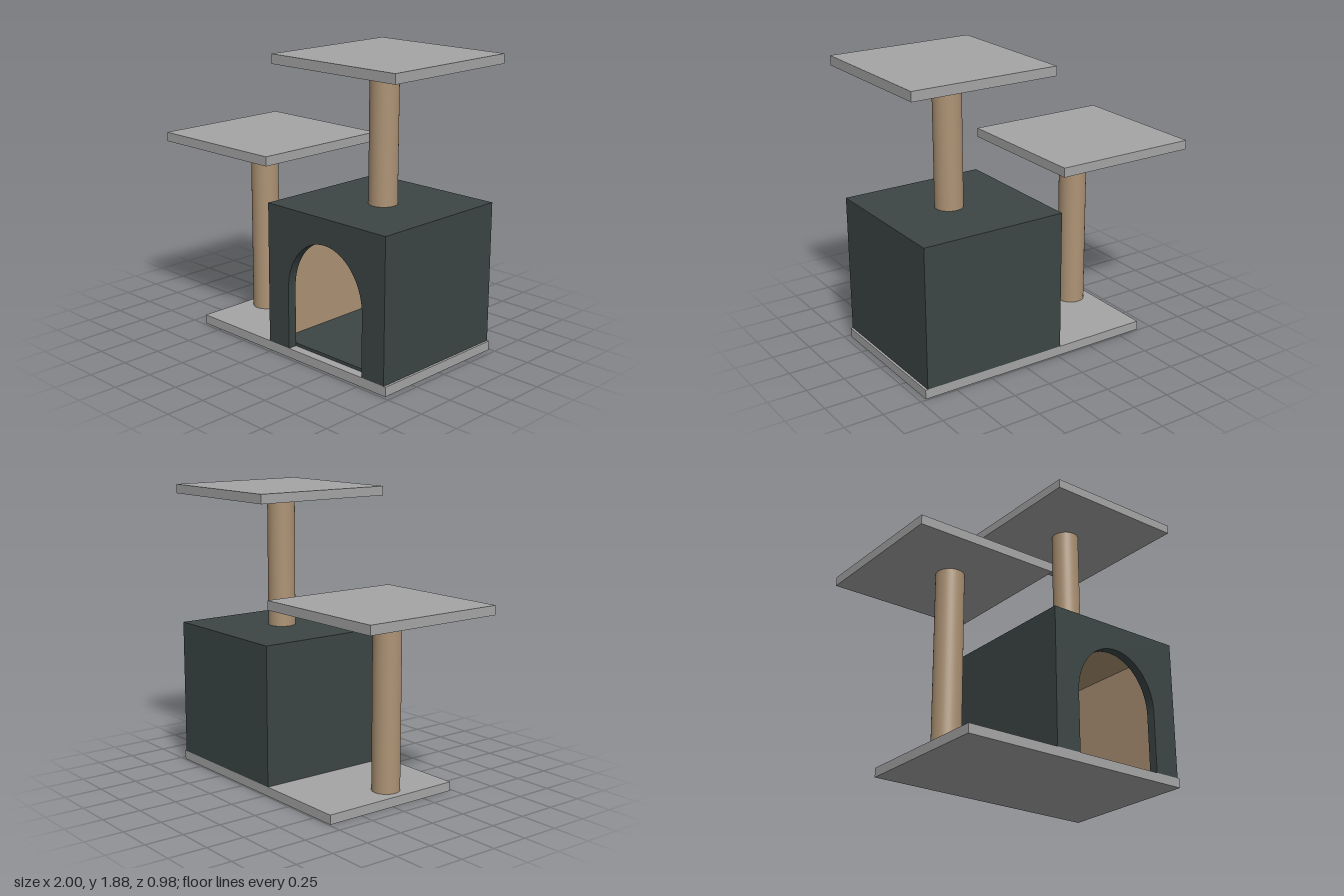
import * as THREE from 'three';

const mat = (name, color) => {
  const m = new THREE.MeshStandardMaterial({ color });
  m.name = name;
  return m;
};

export function createModel() {
  const grey = mat('grey carpet', 0xa5a5a5);
  const tan = mat('tan sisal', 0xad9375);
  const dark = mat('dark slate fabric', 0x3c4545);
  const model = new THREE.Group();
  model.name = 'catTree';

  const add = (parent, name, geometry, material, x, y, z) => {
    const mesh = new THREE.Mesh(geometry, material);
    mesh.name = name;
    mesh.position.set(x, y, z);
    parent.add(mesh);
    return mesh;
  };

  // Box given by its low and high corners
  const box = (parent, name, material, [x0, y0, z0], [x1, y1, z1]) =>
    add(parent, name, new THREE.BoxGeometry(x1 - x0, y1 - y0, z1 - z0), material,
      (x0 + x1) / 2, (y0 + y1) / 2, (z0 + z1) / 2);

  const post = (name, x, z, y0, y1) =>
    add(model, name, new THREE.CylinderGeometry(0.09, 0.09, y1 - y0, 40), tan, x, (y0 + y1) / 2, z);

  // Base, posts and platforms
  const back = -0.49, front = 0.48;
  box(model, 'base', grey, [-0.65, 0, back], [0.96, 0.06, front]);
  post('lowPost', -0.51, 0.06, 0.06, 1.19);
  post('highPost', 0.485, -0.005, 0.965, 1.825);
  box(model, 'lowPlatform', grey, [-1, 1.19, back], [-0.035, 1.25, front]);
  const top = box(model, 'highPlatform', grey, [0.03, 1.825, -0.485], [0.997, 1.885, 0.483]);
  top.rotation.y = 0.005;

  // House: a hollow box, dark outside and tan inside
  const house = new THREE.Group();
  house.name = 'house';
  model.add(house);
  const L = -0.02, R = 0.945, B = 0.06, T = 0.965, t = 0.06;
  const inner = (face) => Array.from({ length: 6 }, (_, i) => (i === face ? tan : dark));
  box(house, 'rightWall', inner(0), [L, B, back], [L + t, T - t, front - t]);
  box(house, 'leftWall', inner(1), [R - t, B, back], [R, T - t, front - t]);
  box(house, 'backWall', inner(4), [L + t, B, back], [R - t, T - t, back + t]);
  box(house, 'roof', inner(3), [L, T - t, back], [R, T, front - t]);
  box(house, 'floor', dark, [L + t, B, back + t], [R - t, 0.08, front - t]);

  // Front wall with an arched doorway open at the bottom
  const w = (R - L) / 2, door = 0.308, spring = 0.45 - B, rise = 0.35;
  const wall = new THREE.Shape();
  wall.moveTo(door, 0);
  wall.lineTo(w, 0);
  wall.lineTo(w, T - B);
  wall.lineTo(-w, T - B);
  wall.lineTo(-w, 0);
  wall.lineTo(-door, 0);
  wall.lineTo(-door, spring);
  wall.absellipse(0, spring, door, rise, Math.PI, 0, true, 0);
  wall.lineTo(door, 0);
  const cx = (L + R) / 2;
  add(house, 'frontWall',
    new THREE.ExtrudeGeometry(wall, { depth: t, bevelEnabled: false, curveSegments: 24 }),
    dark, cx, B, front - t);
  // Tan lining on the inside of the front wall
  const lining = add(house, 'frontLining', new THREE.ShapeGeometry(wall, 24), tan, cx, B, front - t - 0.002);
  lining.rotation.y = Math.PI;

  return model;
}
